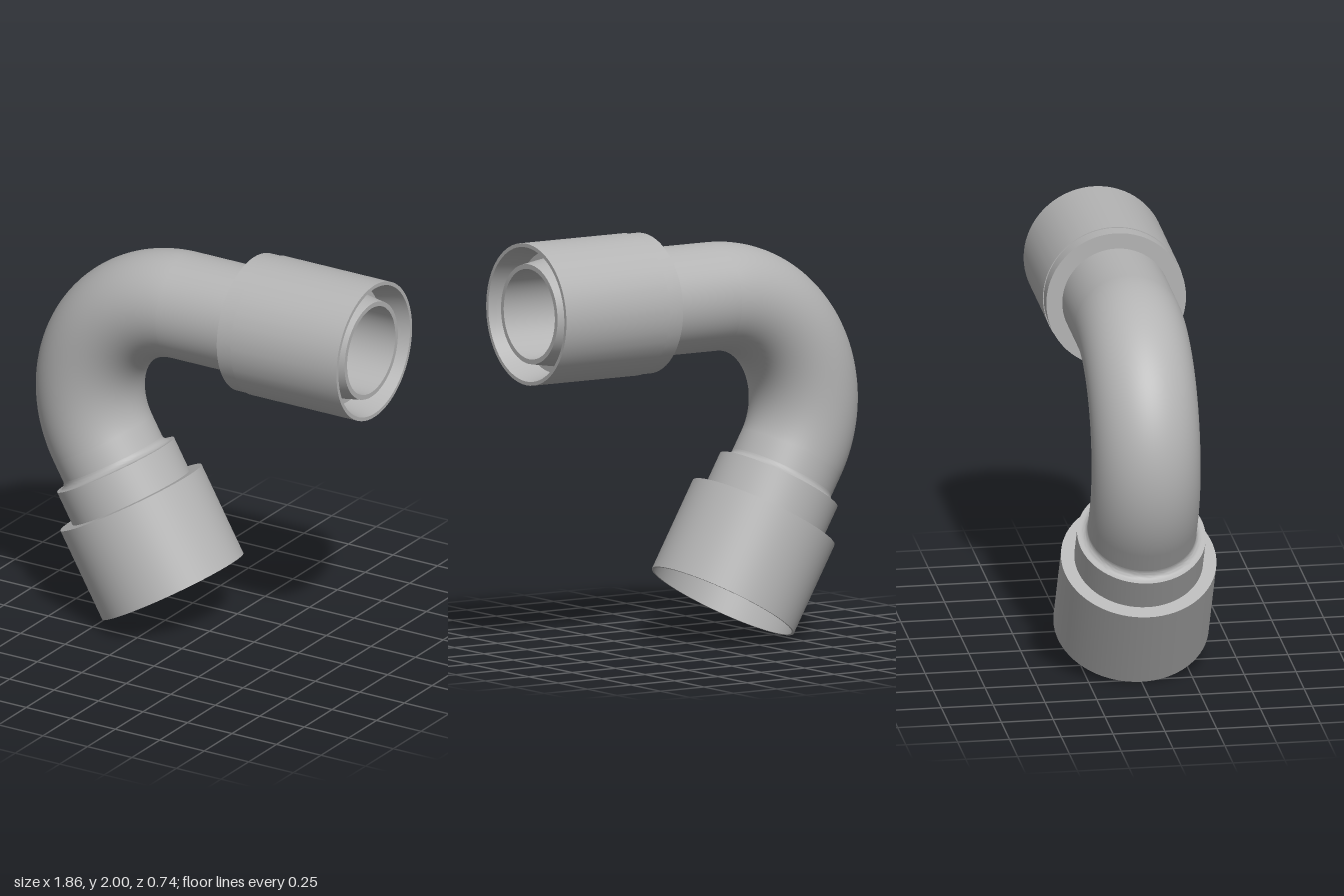
import * as THREE from 'three';
import { toCreasedNormals } from 'three/addons/utils/BufferGeometryUtils.js';

const BEND_R = 0.528;   // bend radius of the pipe axis
const BEND_X = -0.142;  // bend centre
const BEND_Y = 1.132;
const PIPE_R = 0.26;
const BORE_R = 0.217;
const SEG = 72;

export function createModel() {
  const steel = new THREE.MeshStandardMaterial({ color: 0xb4b4b4, side: THREE.DoubleSide });
  steel.name = 'brushedSteel';
  const model = new THREE.Group();
  model.name = 'pipeElbow';

  const add = (parent, name, geometry) => {
    const mesh = new THREE.Mesh(geometry, steel);
    mesh.name = name;
    parent.add(mesh);
    return mesh;
  };

  // Revolves [radius, distance along axis] points, keeping edges sharp
  const turned = (points) => toCreasedNormals(
    new THREE.LatheGeometry(points.map(([r, t]) => new THREE.Vector2(r, t)), SEG), 0.45);

  // A leg is a group whose +y runs outward along the pipe axis from the bend
  const leg = (name, x, y, angle) => {
    const group = new THREE.Group();
    group.name = name;
    group.position.set(x, y, 0);
    group.rotation.z = angle;
    model.add(group);
    return group;
  };

  // Curved section: outer skin and bore over 120 degrees
  for (const [name, r] of [['bend', PIPE_R], ['bendBore', BORE_R]]) {
    const bend = add(model, name, new THREE.TorusGeometry(BEND_R, r, SEG, 64, Math.PI * 2 / 3));
    bend.position.set(BEND_X, BEND_Y, 0);
    bend.rotation.z = Math.PI / 2;
  }

  // Upper leg: straight pipe, then a sleeve around a tapered nose
  const upper = leg('upperLeg', BEND_X, BEND_Y + BEND_R, -Math.PI / 2);
  add(upper, 'upperPipe', turned([[PIPE_R, 0], [PIPE_R, 0.40]]));
  add(upper, 'upperBore', turned([[BORE_R, 0], [BORE_R, 1.05]]));
  add(upper, 'sleeve', turned([
    [PIPE_R, 0.392], [0.337, 0.392], [0.337, 0.472], [0.341, 0.472],
    [0.341, 1.067], [0.323, 1.067], [0.292, 0.92], [0.26, 0.92],
  ]));
  add(upper, 'nose', turned([[0.26, 0.92], [0.24, 1.05], [BORE_R, 1.05]]));

  // Lower leg: straight pipe, flared neck and open socket
  const end = Math.PI * 7 / 6;
  const lower = leg('lowerLeg', BEND_X + BEND_R * Math.cos(end),
    BEND_Y + BEND_R * Math.sin(end), -Math.PI * 5 / 6);
  add(lower, 'lowerPipe', turned([[PIPE_R, 0], [PIPE_R, 0.16]]));
  add(lower, 'lowerBore', turned([[BORE_R, 0], [BORE_R, 0.56]]));

  // Concave fillet between pipe and neck
  const fillet = [];
  for (let i = 0; i <= 8; i++) {
    const a = (i / 8) * Math.PI / 2;
    fillet.push([PIPE_R + 0.035 * (1 - Math.cos(a)), 0.107 + 0.035 * Math.sin(a)]);
  }
  add(lower, 'neck', turned([...fillet, [0.308, 0.142], [0.308, 0.315]]));
  add(lower, 'socket', turned([
    [0.308, 0.315], [0.372, 0.315], [0.372, 0.785], [0.361, 0.785],
    [0.361, 0.589], [0.24, 0.589], [BORE_R, 0.56],
  ]));

  return model;
}
